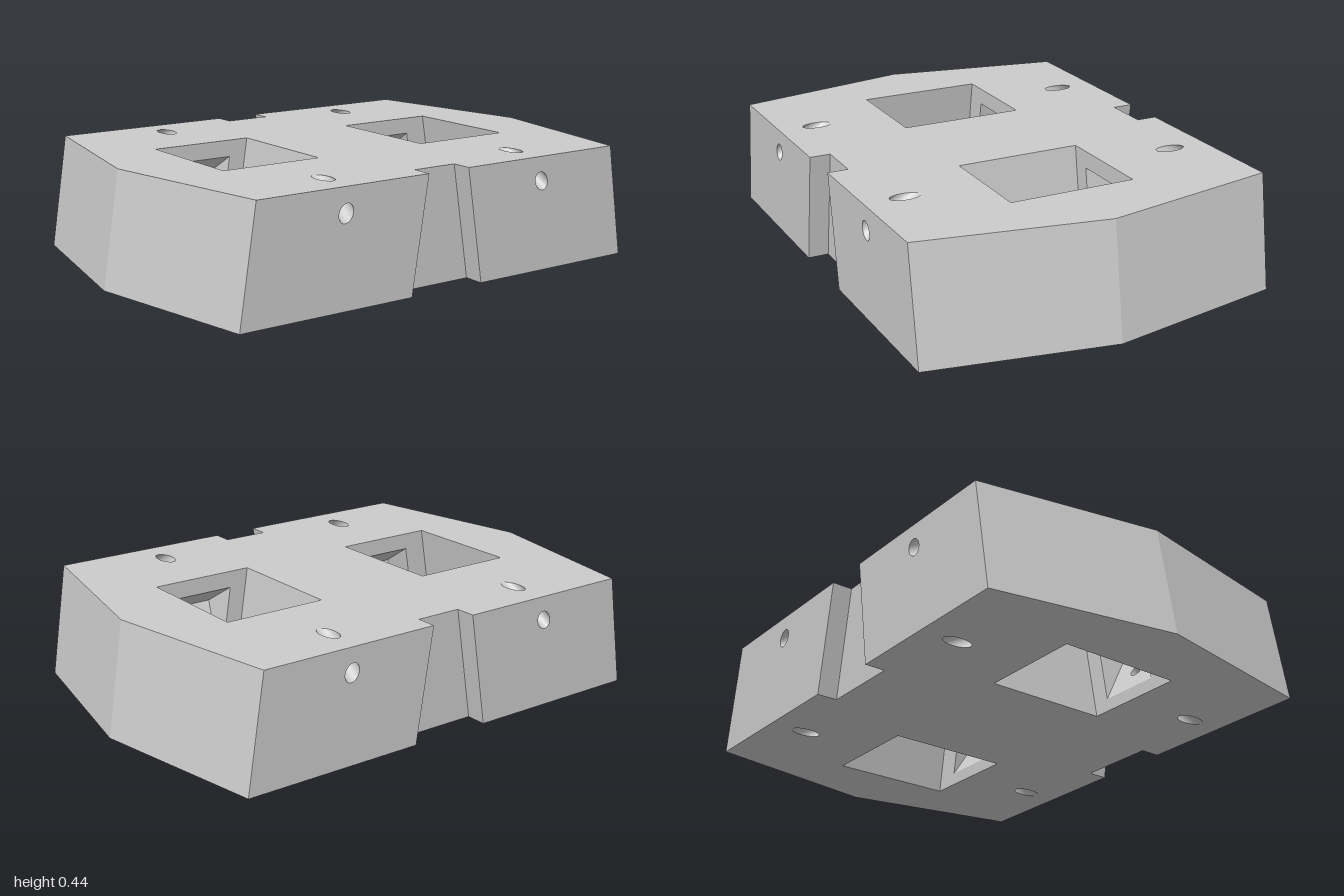
import * as THREE from 'three';
import { mergeGeometries } from 'three/addons/utils/BufferGeometryUtils.js';

const H = 0.435;            // block height
const LEAN = 0.16;          // every side wall leans outward toward the base
const SIDES = 24;           // segments of the screw bores
const R = 0.03;             // bore radius
const AXIS_Z = 0.857, AXIS_Y = 0.515;   // bore direction: outward and down

// Upright design space -> leaning block; the centre plane stays put
const lean = (x, y, z) => [x === 0 ? 0 : x + LEAN * (H - y), y, z];

const rect = (a0, b0, a1, b1) => [[a0, b0], [a1, b0], [a1, b1], [a0, b1]];

// Ellipse outline, used wherever a bore breaks through a face
const ellipse = (a, b, ra, rb) => Array.from({ length: SIDES }, (_, i) => {
  const t = (i / SIDES) * Math.PI * 2;
  return [a + ra * Math.cos(t), b + rb * Math.sin(t)];
});

function makeGeometry(points, index, toward) {
  const g = new THREE.BufferGeometry();
  g.setAttribute('position', new THREE.Float32BufferAttribute(points.flat(), 3));
  // Turn the winding so the surface looks toward the given direction
  const [a, b, c] = index.slice(0, 3).map((i) => new THREE.Vector3(...points[i]));
  const n = b.sub(a).cross(c.sub(a));
  if (n.dot(new THREE.Vector3(...toward)) < 0) index.reverse();
  g.setIndex(index);
  return g;
}

// Flat face: outline and holes in two coordinates, placed by map(a, b) -> [x, y, z]
function face(outline, map, toward, holes = []) {
  const v = (list) => list.map(([a, b]) => new THREE.Vector2(a, b));
  const contour = v(outline);
  if (THREE.ShapeUtils.isClockWise(contour)) contour.reverse();
  const inner = holes.map((h) => v(h).reverse());
  const index = THREE.ShapeUtils.triangulateShape(contour, inner).flat();
  const points = [contour, ...inner].flat().map((p) => lean(...map(p.x, p.y)));
  return makeGeometry(points, index, toward);
}

// Bore wall between two matching rims
function bore(rimA, rimB) {
  const points = [...rimA, ...rimB].map((p) => lean(...p));
  const index = [];
  for (let i = 0; i < SIDES; i++) {
    const j = (i + 1) % SIDES;
    index.push(i, j, SIDES + i, j, SIDES + j, SIDES + i);
  }
  return makeGeometry(points, index, [-1, 0, 0]);
}

// Mirror a quarter into all four corners
function fourfold(quarter) {
  const all = [];
  for (const sx of [1, -1]) for (const sz of [1, -1]) for (const g of quarter) {
    const m = g.clone().scale(sx, 1, sz);
    if (sx * sz < 0) m.setIndex(Array.from(m.index.array).reverse());
    m.computeVertexNormals();
    all.push(m);
  }
  return mergeGeometries(all);
}

export function createModel() {
  const group = new THREE.Group();
  const material = new THREE.MeshStandardMaterial({ color: 0xcccccc });
  const add = (name, quarter) => {
    const mesh = new THREE.Mesh(fourfold(quarter), material);
    mesh.name = name;
    group.add(mesh);
  };

  const onY = (y) => (x, z) => [x, y, z];
  const onZ = (z) => (x, y) => [x, y, z];
  const onX = (x) => (z, y) => [x, y, z];
  const W0 = 0.24, W1 = 0.645, WZ = 0.245;      // window
  const E = 0.7, NX = 0.09, NZ = 0.62;          // end wall and notch
  const BX = 0.43, topZ = 0.545, frontY = 0.342, footZ = 0.55;
  const longR = R / AXIS_Y, shortR = R / AXIS_Z;

  // Top and bottom faces, with window, notch and bore openings
  const plan = [[0, 0], [W0, 0], [W0, WZ], [W1, WZ], [W1, 0], [0.93, 0],
    [0.8, E], [NX, E], [NX, NZ], [0, NZ]];
  const topRim = ellipse(BX, topZ, R, longR);
  const footRim = ellipse(BX, footZ, R, longR);
  const frontRim = ellipse(BX, frontY, R, shortR);
  add('blockShell', [
    face(plan, onY(H), [0, 1, 0], [topRim]),
    face(plan, onY(0), [0, -1, 0], [footRim]),
    face(rect(NX, 0, 0.8, H), onZ(E), [0, 0, 1], [frontRim]),
    face(rect(0, 0, E, H), (z, y) => [0.93 - (0.13 * z) / E, y, z], [1, 0, 0]),
  ]);
  add('keyNotches', [
    face(rect(0, 0, NX, H), onZ(NZ), [0, 0, 1]),
    face(rect(NZ, 0, E, H), onX(NX), [-1, 0, 0]),
  ]);

  // Window walls, opened by the screw pockets
  const P0 = BX - 0.12, P1 = BX + 0.12, low = 0.05, high = 0.37;
  add('windowWalls', [
    face(rect(0, 0, WZ, H), onX(W0), [1, 0, 0]),
    face(rect(0, 0, WZ, H), onX(W1), [-1, 0, 0]),
    face(rect(W0, 0, W1, H), onZ(WZ), [0, 0, -1], [rect(P0, low, P1, high)]),
  ]);

  // Wedge pockets: sloping ceiling and a seat square to the bore
  const seatLength = 0.272;
  const onSeat = (x, s) => [x, low + AXIS_Z * s, WZ + AXIS_Y * s];
  const [, deepY, deepZ] = onSeat(0, seatLength);
  const wedge = [[WZ, low], [deepZ, deepY], [WZ, high]];
  const seatRim = ellipse(BX, 0.115, R, R);
  add('screwPockets', [
    face(rect(P0, 0, P1, seatLength), onSeat, [0, 0.5, -1], [seatRim]),
    face(rect(P0, 0, P1, 1), (x, t) => [x, high + (deepY - high) * t, WZ + (deepZ - WZ) * t],
      [0, -1, -0.5]),
    face(wedge, onX(P0), [1, 0, 0]),
    face(wedge, onX(P1), [-1, 0, 0]),
  ]);

  // Slanted bores: top to end wall, and pocket seat to base
  const place = (rim, map) => rim.map(([a, b]) => map(a, b));
  add('edgeBores', [bore(place(topRim, onY(H)), place(frontRim, onZ(E)))]);
  add('footBores', [bore(place(seatRim, onSeat), place(footRim, onY(0)))]);

  return group;
}
